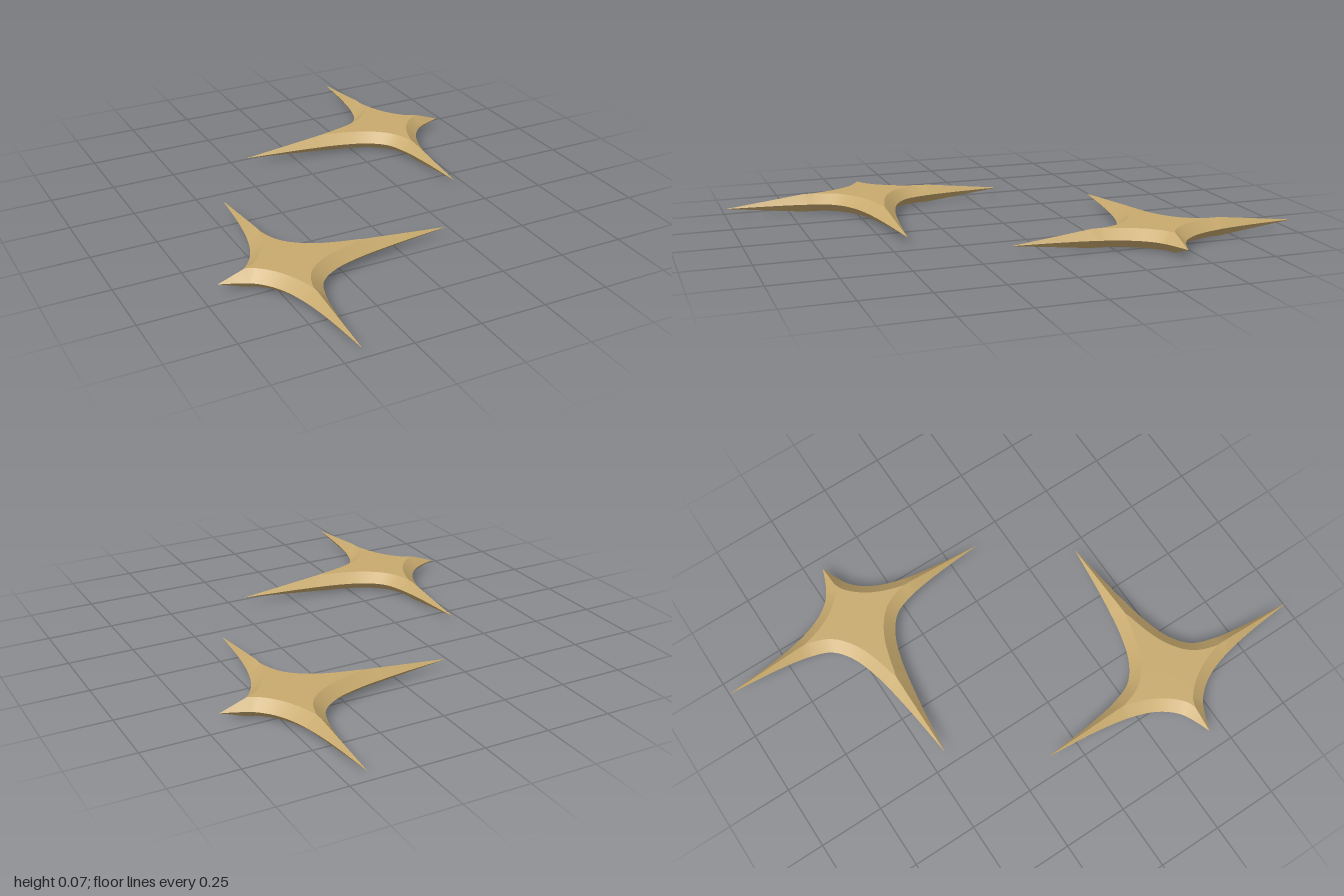
import * as THREE from 'three';

const H = 0.036;      // half thickness
const INSET = 0.042;  // bevel width
const STEPS = 42;
const ARM_Z = { tip: 0.5625, flat: 0.255 };
const ARM_LONG = { tip: 0.645, flat: 0.3 };
const ARM_SHORT = { tip: 0.253, flat: 0.152 };

// Concave edge of one quarter, as fractions of its two arm lengths
const LONG_EDGE = [[1, 0], [0.62, 0.053], [0.37, 0.106], [0.215, 0.17], [0.112, 0.265], [0.062, 0.41], [0.029, 0.63], [0, 1]];
const SHORT_EDGE = [[1, 0], [0.755, 0.043], [0.56, 0.09], [0.39, 0.17], [0.266, 0.27], [0.16, 0.42], [0.075, 0.64], [0, 1]];

// Outer edge and inset edge of a quarter; past the flat part the inset edge becomes a falling ridge
function quarterRings(arm, edge) {
  const curve = new THREE.CatmullRomCurve3(
    edge.map(([u, v]) => new THREE.Vector3(u * arm.tip, 0, v * ARM_Z.tip)));
  const outer = [], inner = [], side = [];
  for (let i = 0; i <= STEPS; i++) {
    const p = curve.getPoint(i / STEPS), t = curve.getTangent(i / STEPS);
    p.x = Math.max(p.x, 0);
    p.z = Math.max(p.z, 0);
    const q = new THREE.Vector3(Math.max(p.x - t.z * INSET, 0), H, Math.max(p.z + t.x * INSET, 0));
    let s = 0;
    if (p.x > arm.flat && p.x / arm.tip > p.z / ARM_Z.tip) {
      s = 1;
      q.set(p.x, H * (arm.tip - p.x) / (arm.tip - arm.flat), 0);
    } else if (p.z > ARM_Z.flat) {
      s = 2;
      q.set(0, H * (ARM_Z.tip - p.z) / (ARM_Z.tip - ARM_Z.flat), p.z);
    }
    outer.push(p);
    inner.push(q);
    side.push(s);
  }
  // Close the flat face exactly at the two ridge starts
  const first = side.lastIndexOf(1), last = side.indexOf(2);
  inner[first].set(arm.flat, H, 0);
  inner[last].set(0, H, ARM_Z.flat);
  return { outer, inner, cap: inner.slice(first, last + 1) };
}

// Indexed geometry mirrored by signs, with the corner order kept outward
function mirrored(points, tris, sx, sy, sz) {
  const g = new THREE.BufferGeometry().setFromPoints(
    points.map(p => new THREE.Vector3(p.x * sx, p.y * sy, p.z * sz)));
  g.setIndex(tris.flatMap(([a, b, c]) => (sx * sy * sz > 0 ? [a, c, b] : [a, b, c])));
  g.translate(0, H, 0);
  g.computeVertexNormals();
  return g;
}

function createStar(material) {
  const star = new THREE.Group();
  for (const sx of [1, -1]) {
    const { outer, inner, cap } = sx > 0
      ? quarterRings(ARM_LONG, LONG_EDGE) : quarterRings(ARM_SHORT, SHORT_EDGE);
    const n = outer.length;
    const bevelTris = [], capTris = [];
    for (let i = 0; i < n - 1; i++) bevelTris.push([i, i + 1, n + i + 1], [i, n + i + 1, n + i]);
    for (let i = 1; i < cap.length; i++) capTris.push([0, i, i + 1]);
    const capPoints = [new THREE.Vector3(0, H, 0), ...cap];
    for (const sz of [1, -1]) for (const sy of [1, -1]) {
      const bevel = new THREE.Mesh(mirrored([...outer, ...inner], bevelTris, sx, sy, sz), material);
      bevel.name = 'bevel';
      const face = new THREE.Mesh(mirrored(capPoints, capTris, sx, sy, sz), material);
      face.name = 'flatFace';
      star.add(bevel, face);
    }
  }
  return star;
}

export function createModel() {
  const gold = new THREE.MeshStandardMaterial({ color: 0xc8aa6e });
  gold.name = 'gold';
  const model = new THREE.Group();
  model.name = 'starPair';

  // Two stars, each turned half round from the other, long arms facing inward
  const front = createStar(gold);
  front.name = 'frontStar';
  front.position.set(-0.4375, 0, 0.4375);
  const back = createStar(gold);
  back.name = 'backStar';
  back.position.set(0.4375, 0, -0.4375);
  back.rotation.y = Math.PI;
  model.add(front, back);
  return model;
}
